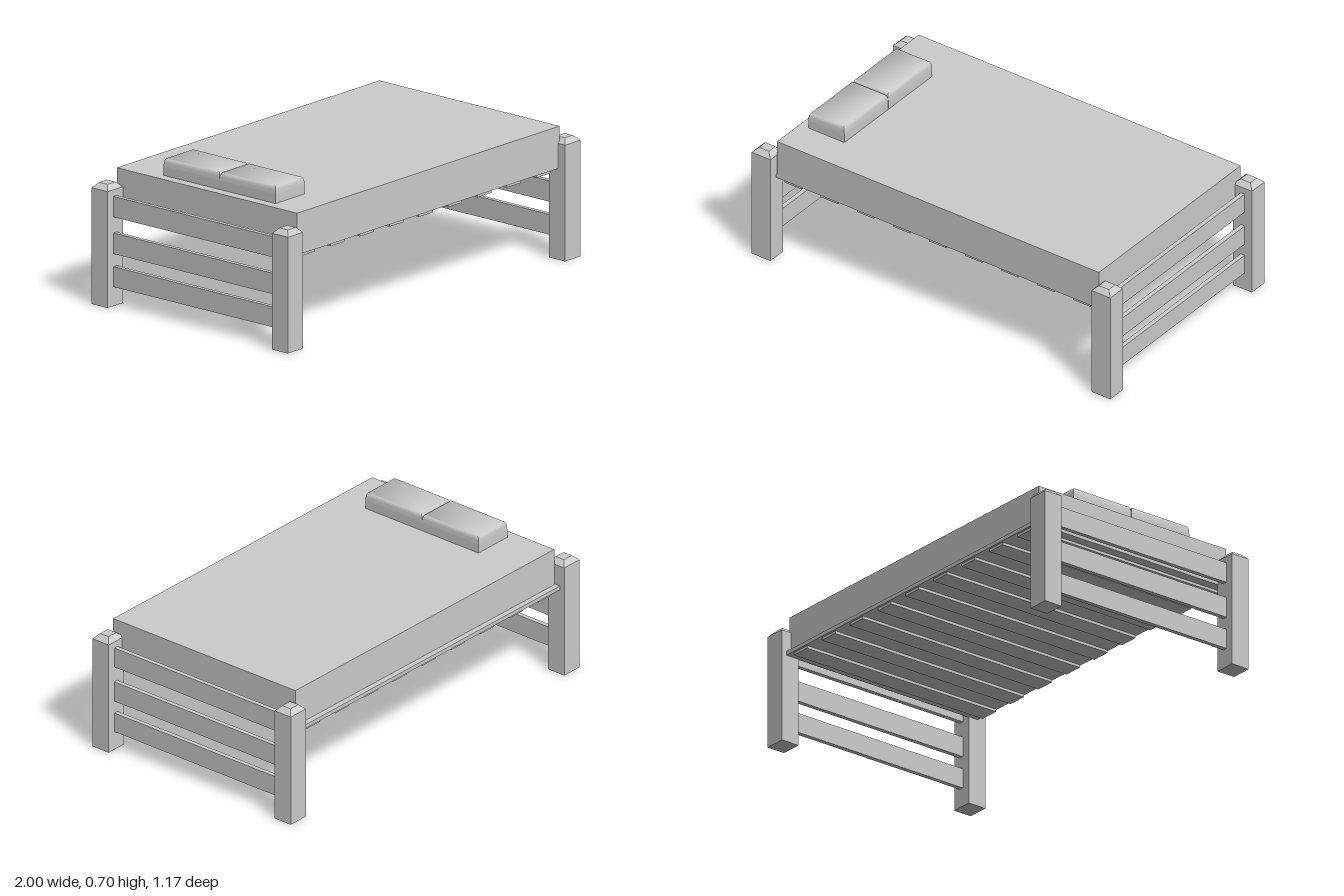
import * as THREE from 'three';
import { toCreasedNormals } from 'three/addons/utils/BufferGeometryUtils.js';

const material = new THREE.MeshStandardMaterial({ color: 0xcccccc });

function addMesh(parent, name, geometry, x = 0, y = 0, z = 0) {
  const mesh = new THREE.Mesh(geometry, material);
  mesh.name = name;
  mesh.position.set(x, y, z);
  parent.add(mesh);
  return mesh;
}

// Box given by its min and max along each axis
function addBox(parent, name, [x0, x1], [y0, y1], [z0, z1]) {
  const geometry = new THREE.BoxGeometry(x1 - x0, y1 - y0, z1 - z0);
  return addMesh(parent, name, geometry, (x0 + x1) / 2, (y0 + y1) / 2, (z0 + z1) / 2);
}

// Square post whose top tapers to a small flat cap
function postGeometry(width, depth, height, shoulder) {
  const geometry = new THREE.BoxGeometry(width, height, depth, 1, 2, 1);
  geometry.translate(0, height / 2, 0);
  const p = geometry.attributes.position;
  for (let i = 0; i < p.count; i++) {
    const y = p.getY(i);
    if (y > height - 1e-4) {
      p.setX(i, p.getX(i) * 0.52);
      p.setZ(i, p.getZ(i) * 0.52);
    } else if (y > 1e-4) p.setY(i, shoulder);
  }
  return toCreasedNormals(geometry, 0.3);
}

// Cushion with straight lower walls and softly rounded upper edges
function pillowGeometry(width, height, depth) {
  const steps = 8, inset = 0.009;
  const geometry = new THREE.BoxGeometry(width, height, depth, 1, steps, 1);
  geometry.translate(0, height / 2, 0);
  const p = geometry.attributes.position;
  for (let i = 0; i < p.count; i++) {
    const t = Math.max(0, p.getY(i) / height - 0.5) * 2;
    const shrink = inset * (1 - Math.sqrt(Math.max(0, 1 - t * t)));
    p.setX(i, p.getX(i) - Math.sign(p.getX(i)) * shrink);
    p.setZ(i, p.getZ(i) - Math.sign(p.getZ(i)) * shrink);
  }
  return toCreasedNormals(geometry, 1.1);
}

export function createModel() {
  const bed = new THREE.Group();
  bed.name = 'bed';

  // Head and foot ends: two posts joined by three rails
  const post = postGeometry(0.105, 0.095, 0.57, 0.546);
  for (const side of [-1, 1]) {
    const end = new THREE.Group();
    end.name = side < 0 ? 'headEnd' : 'footEnd';
    for (const z of [-0.5375, 0.5375]) addMesh(end, 'post', post, side * 0.9475, 0, z);
    for (const [y0, y1] of [[0.09, 0.185], [0.245, 0.343], [0.418, 0.515]]) {
      const x = side * 0.949;
      addBox(end, 'endRail', [x - 0.011, x + 0.011], [y0, y1], [-0.495, 0.495]);
    }
    bed.add(end);
  }

  // Base panel with slats underneath
  addBox(bed, 'basePanel', [-0.9, 0.9], [0.427, 0.446], [-0.56, 0.541]);
  for (let i = -4; i <= 4; i++) {
    const x = i * 0.201;
    addBox(bed, 'slat', [x - 0.048, x + 0.048], [0.414, 0.428], [-0.55, 0.535]);
  }

  addBox(bed, 'mattress', [-0.888, 0.906], [0.43, 0.625], [-0.532, 0.543]);

  // Pair of pillows side by side at the head
  const pillow = pillowGeometry(0.2, 0.08, 0.333);
  for (const z of [-0.129, 0.205]) addMesh(bed, 'pillow', pillow, -0.74, 0.625, z);

  return bed;
}
